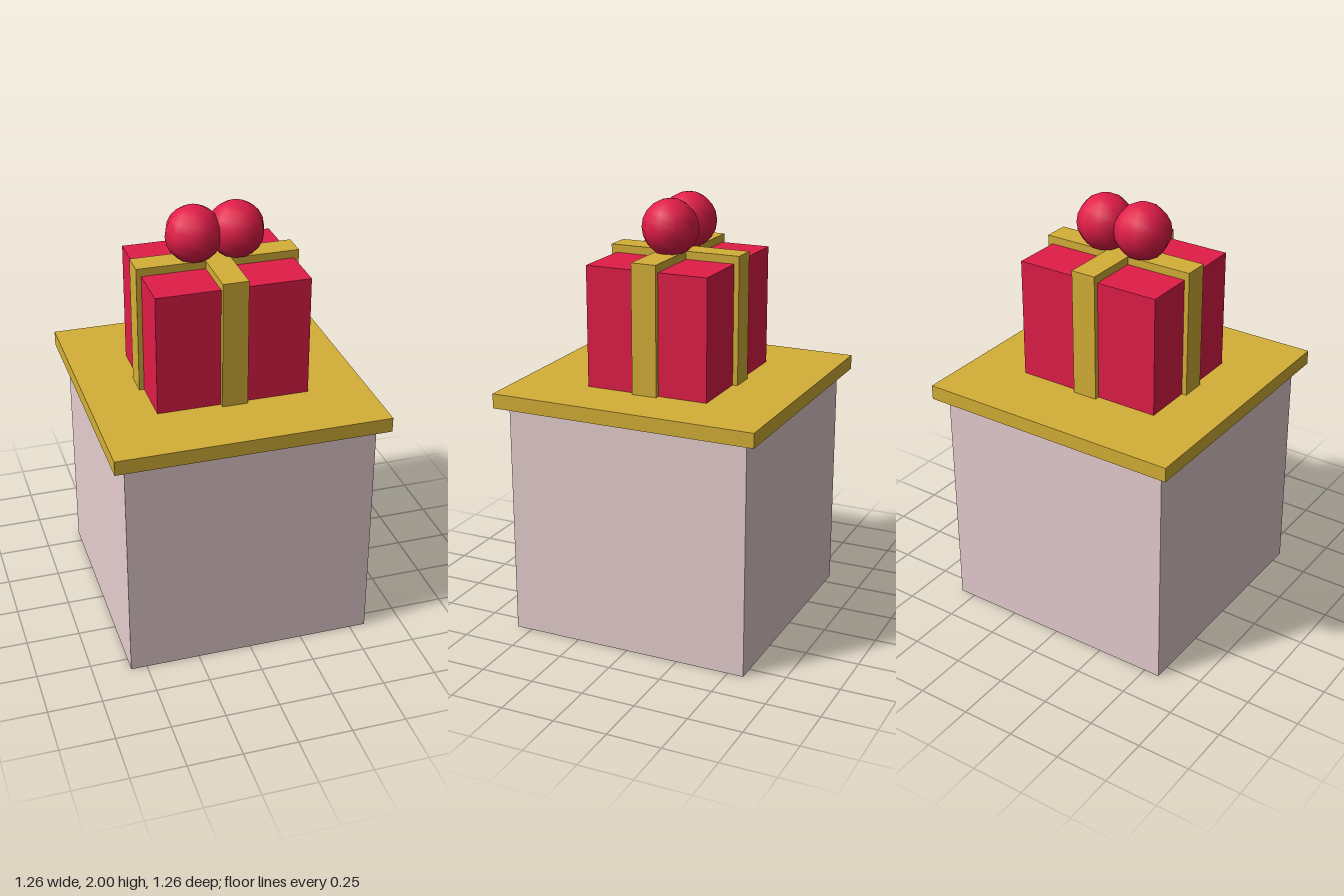
import * as THREE from 'three';

export function createModel() {
  const model = new THREE.Group();
  const paint = (name, color) => {
    const material = new THREE.MeshStandardMaterial({ color });
    material.name = name;
    return material;
  };
  const gold = paint('gold', 0xd4af37);
  const red = paint('red', 0xe11d48);
  const stone = paint('pale pink', 0xe6cdcf);

  const add = (name, geometry, material, x, y, z, parent = model) => {
    const mesh = new THREE.Mesh(geometry, material);
    mesh.name = name;
    mesh.position.set(x, y, z);
    parent.add(mesh);
    return mesh;
  };
  // Box standing on height y
  const box = (name, w, h, d, y, material, parent) =>
    add(name, new THREE.BoxGeometry(w, h, d), material, 0, y + h / 2, 0, parent);

  // Pedestal with an overhanging slab
  box('pedestal', 1.15, 1.095, 1.15, 0, stone);
  box('pedestalTop', 1.256, 0.068, 1.256, 1.095, gold);

  // Wrapped gift with crossed ribbons
  const gift = new THREE.Group();
  gift.name = 'gift';
  model.add(gift);
  box('giftBox', 0.704, 0.56, 0.584, 1.163, red, gift);
  box('ribbonAcross', 0.75, 0.597, 0.118, 1.163, gold, gift);
  box('ribbonFrontToBack', 0.118, 0.597, 0.632, 1.163, gold, gift);

  // Two round bow loops
  const loop = new THREE.SphereGeometry(0.13, 10, 10);
  for (const side of [-1, 1]) {
    add(side < 0 ? 'rightBowLoop' : 'leftBowLoop', loop, red, side * 0.098, 1.87, 0, gift);
  }
  return model;
}
